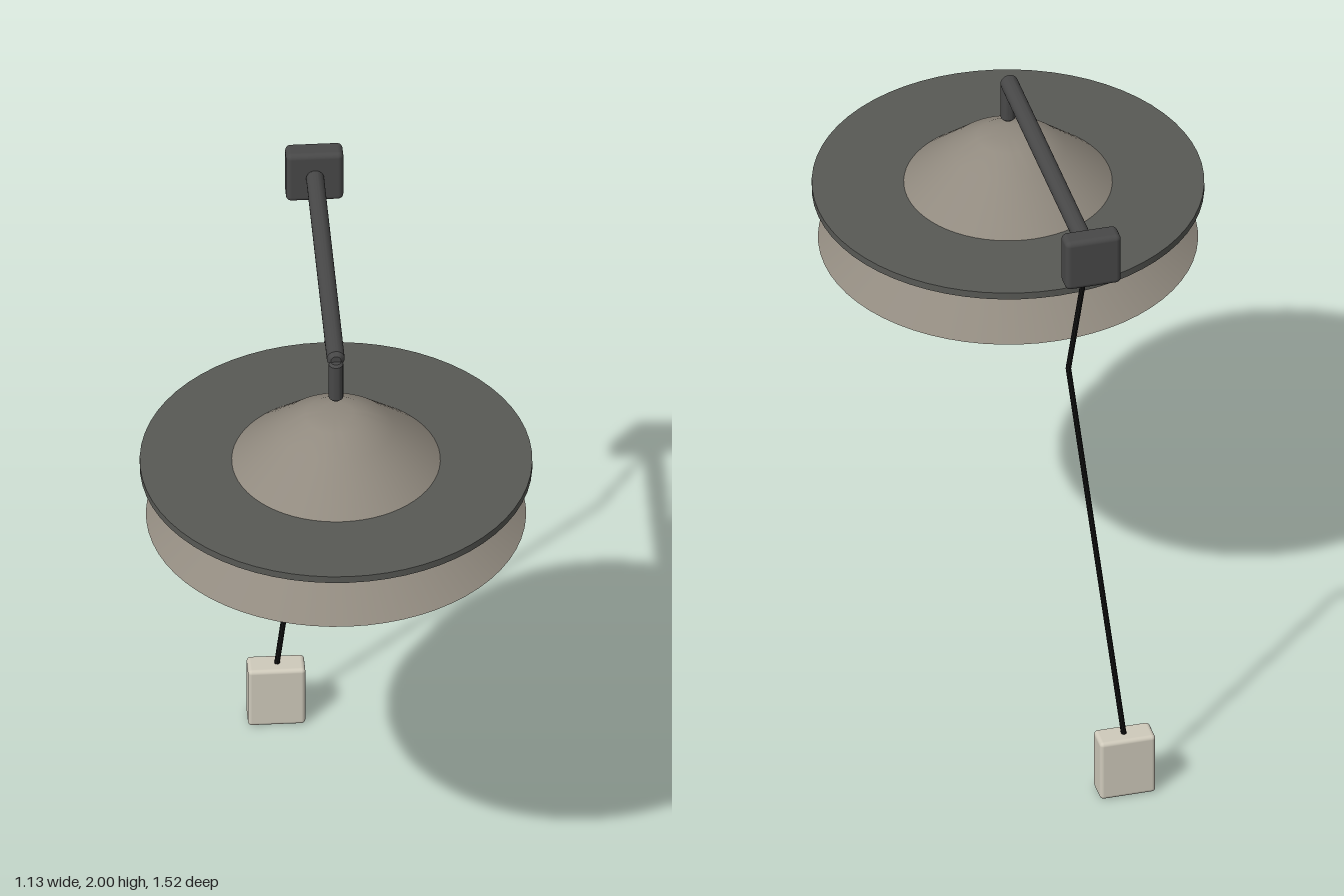
import * as THREE from 'three';
import { RoundedBoxGeometry } from 'three/addons/geometries/RoundedBoxGeometry.js';
import { toCreasedNormals } from 'three/addons/utils/BufferGeometryUtils.js';

const mat = (color) => new THREE.MeshStandardMaterial({ color });
const metal = mat(0x484848);
const shadeMat = mat(0x918a7f);
const discMat = mat(0x585955);
const cordMat = mat(0x141414);
const plugMat = mat(0xcfcabb);

const SHADE_Z = 0.195;
const v = (x, y, z) => new THREE.Vector3(x, y, z);

function part(name, geometry, material, x = 0, y = 0, z = 0) {
  const mesh = new THREE.Mesh(geometry, material);
  mesh.name = name;
  mesh.position.set(x, y, z);
  return mesh;
}

// closed turned solid from [radius, height] pairs, bottom to top
function turned(profile, sides, crease = 0.5) {
  const points = profile.map(([r, y]) => new THREE.Vector2(r, y));
  return toCreasedNormals(new THREE.LatheGeometry(points, sides), crease);
}

// round bar with bevelled ends between two points
function rod(name, a, b, radius, bevel, material, sides = 24) {
  const h = a.distanceTo(b) / 2;
  const geometry = turned([
    [0, -h], [radius - bevel, -h], [radius, -h + bevel],
    [radius, h - bevel], [radius - bevel, h], [0, h],
  ], sides);
  const mesh = part(name, geometry, material);
  mesh.position.copy(a).add(b).multiplyScalar(0.5);
  mesh.quaternion.setFromUnitVectors(v(0, 1, 0), b.clone().sub(a).normalize());
  return mesh;
}

export function createModel() {
  const lamp = new THREE.Group();
  lamp.name = 'wallLamp';

  // wall plate and bent arm
  lamp.add(part('wallPlate', new RoundedBoxGeometry(0.166, 0.166, 0.067, 3, 0.016), metal, 0, 1.917, -0.7265));
  lamp.add(rod('arm', v(0, 1.922, -0.7), v(0, 1.922, SHADE_Z), 0.026, 0.011, metal));
  lamp.add(rod('armDrop', v(0, 1.787, SHADE_Z), v(0, 1.918, SHADE_Z), 0.021, 0.007, metal));

  // conical shade, closed underneath
  const shade = turned([
    [0, 1.375], [0.548, 1.375], [0.31, 1.56], [0.165, 1.685],
    [0.09, 1.729], [0.05, 1.737], [0, 1.738],
  ], 64, 0.6);
  lamp.add(part('shade', shade, shadeMat, 0, 0, SHADE_Z));

  // flat disc around the shade
  lamp.add(part('disc', new THREE.CylinderGeometry(0.566, 0.566, 0.022, 64), discMat, 0, 1.557, SHADE_Z));

  // slack cord down to the plug
  const cord = new THREE.Group();
  cord.name = 'cord';
  const path = [v(0, 1.862, -0.675), v(0.054, 1.505, -0.675), v(-0.113, 0.18, -0.675)];
  for (let i = 0; i < 2; i++) {
    cord.add(rod('cordLength', path[i], path[i + 1], 0.008, 0.001, cordMat, 10));
  }
  cord.add(part('cordBend', new THREE.SphereGeometry(0.008, 10, 8), cordMat, ...path[1].toArray()));
  lamp.add(cord);

  // plug
  lamp.add(part('plug', new RoundedBoxGeometry(0.166, 0.196, 0.082, 3, 0.012), plugMat, -0.114, 0.098, -0.675));

  return lamp;
}
